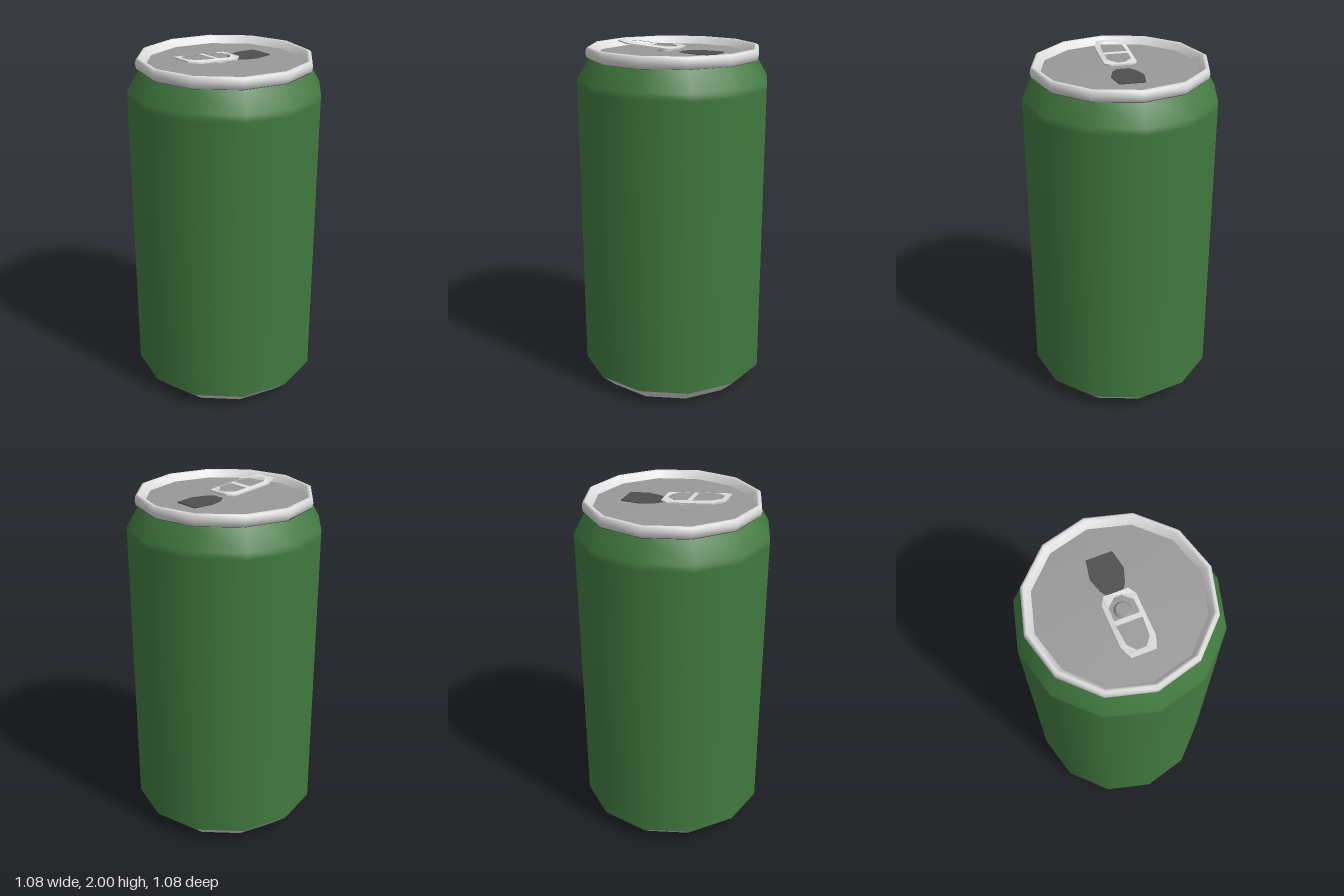
import * as THREE from 'three';

const SIDES = 12;

function mat(name, color) {
  const m = new THREE.MeshStandardMaterial({ color });
  m.name = name;
  return m;
}

export function createModel() {
  const can = new THREE.Group();
  can.name = 'drinkCan';

  const green = mat('green paint', 0x427a40);
  const silver = mat('light aluminium', 0xdedede);
  const grey = mat('grey aluminium', 0x999999);
  const dark = mat('dark opening', 0x4e4e4e);

  const add = (name, geometry, material) => {
    const mesh = new THREE.Mesh(geometry, material);
    mesh.name = name;
    can.add(mesh);
    return mesh;
  };

  // Twelve-sided ring parts turned from [radius, height] profiles
  const turn = (name, profile, material) =>
    add(name, new THREE.LatheGeometry(profile.map(([r, y]) => new THREE.Vector2(r, y)), SIDES), material);

  turn('body', [[0.54, 0.09], [0.54, 1.76], [0.54, 1.8], [0.475, 1.91]], green);
  turn('base', [[0.385, 0.025], [0.41, 0], [0.45, 0.005], [0.54, 0.09]], silver);
  turn('baseDish', [[0, 0.07], [0.2, 0.06], [0.33, 0.04], [0.385, 0.025]], grey);
  turn('rim', [
    [0.47, 1.91], [0.485, 1.92], [0.49, 1.945], [0.485, 1.97],
    [0.472, 1.977], [0.458, 1.97], [0.437, 1.935],
  ], silver);
  turn('lid', [[0.437, 1.935], [0.4, 1.936], [0.2, 1.942], [0, 1.945]], grey);

  // Mirrored outline on the lid plane from its right-hand [x, z] points
  const outline = (half, Type = THREE.Shape) => {
    const left = half.filter(([x]) => x > 0).map(([x, z]) => [-x, z]).reverse();
    return new Type([...half, ...left].map(([x, z]) => new THREE.Vector2(x, -z)));
  };

  // Drinking opening: thin dark plate
  const mouth = new THREE.ExtrudeGeometry(
    outline([[0.07, -0.272], [0.09, -0.165], [0.065, -0.085], [0.035, -0.045]]),
    { depth: 0.006, bevelEnabled: false });
  mouth.rotateX(-Math.PI / 2);
  add('mouthOpening', mouth, dark).position.y = 1.939;

  // Pull tab with two finger holes, rising toward the front
  const tabShape = outline([
    [0.065, -0.045], [0.09, -0.005], [0.09, 0.24], [0.065, 0.308],
  ]);
  tabShape.holes.push(
    outline([[0.02, -0.02], [0.066, 0.025], [0.066, 0.1]], THREE.Path),
    outline([[0.068, 0.128], [0.06, 0.235], [0.025, 0.28]], THREE.Path));
  const tab = new THREE.ExtrudeGeometry(tabShape, { depth: 0.008, bevelEnabled: false });
  tab.rotateX(-Math.PI / 2);
  const p = tab.attributes.position;
  for (let i = 0; i < p.count; i++) {
    const rise = (p.getZ(i) + 0.045) / 0.353;
    const droop = Math.abs(p.getX(i)) > 0.08 ? 0.007 : 0;
    p.setY(i, p.getY(i) + 1.962 + 0.03 * rise - droop);
  }
  tab.computeVertexNormals();
  add('pullTab', tab, silver);

  // Rivet joining the tab to the lid
  const rivet = new THREE.CylinderGeometry(0.035, 0.05, 0.02, SIDES);
  add('rivet', rivet, grey).position.set(0, 1.95, 0.045);

  return can;
}
